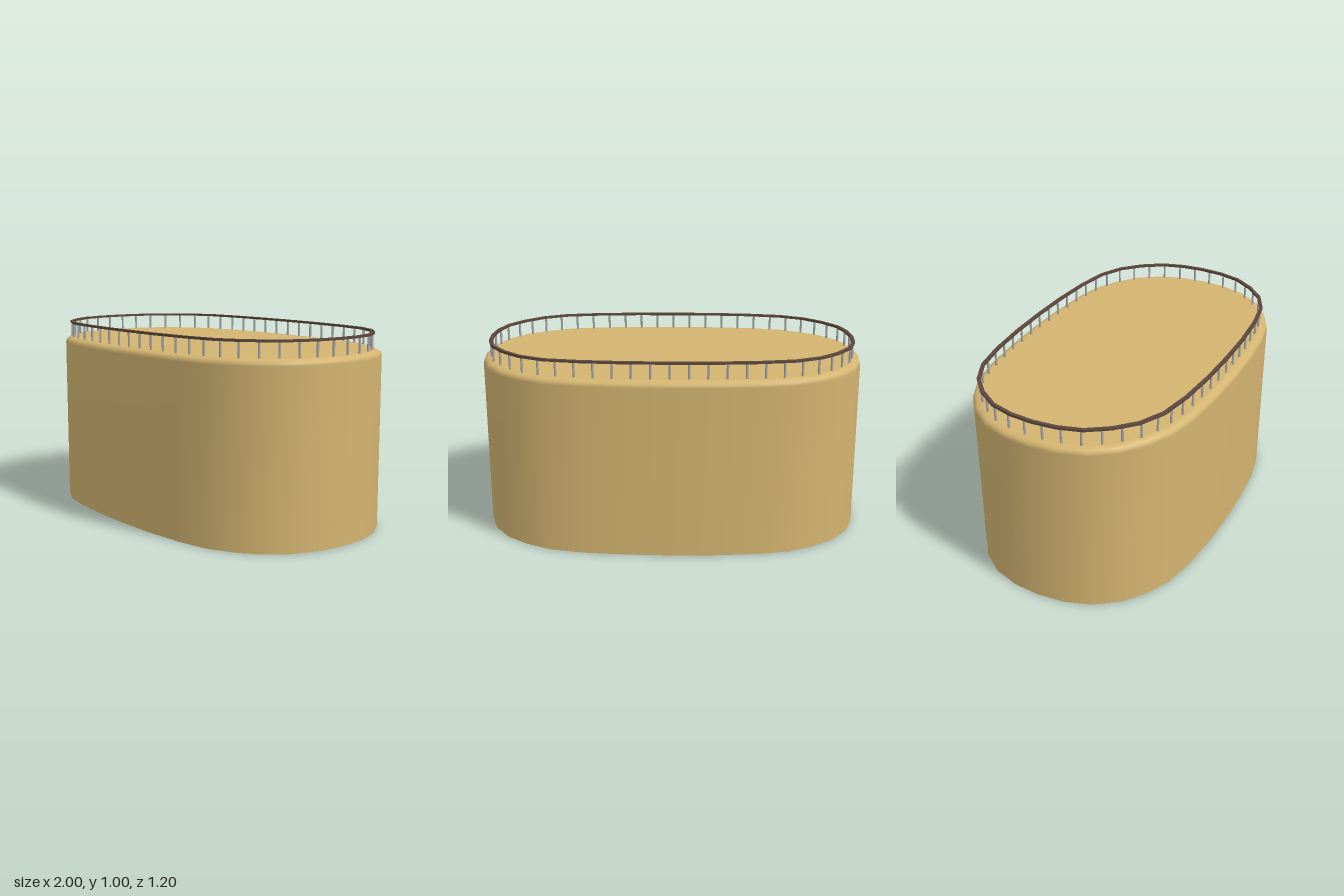
import * as THREE from 'three';

// One quadrant of each oval, from the +x end to the middle of the front
const BODY_QUADRANT = [[1, 0], [0.987, 0.14], [0.943, 0.275], [0.857, 0.395], [0.745, 0.48],
  [0.617, 0.542], [0.45, 0.577], [0.23, 0.596], [0, 0.602]];
const RAIL_QUADRANT = [[0.957, 0], [0.947, 0.122], [0.913, 0.24], [0.84, 0.347], [0.745, 0.437],
  [0.617, 0.499], [0.44, 0.53], [0.22, 0.547], [0, 0.551]];

// Quadrant mirrored into a closed oval
function oval(quadrant) {
  const q = quadrant.map(([x, z]) => new THREE.Vector2(x, z));
  const half = [...q, ...q.slice(0, -1).reverse().map(p => new THREE.Vector2(-p.x, p.y))];
  return [...half, ...half.slice(1, -1).reverse().map(p => new THREE.Vector2(p.x, -p.y))];
}

// Oval moved inwards along its own normals
function inset(outline, d) {
  const n = outline.length;
  return outline.map((p, i) => {
    const a = outline[(i + n - 1) % n], b = outline[(i + 1) % n];
    const t = b.clone().sub(a).normalize();
    return new THREE.Vector2(p.x - t.y * d, p.y + t.x * d);
  });
}

// Smooth wall lofted through [inset, height] rings
function loft(outline, rings) {
  const n = outline.length, pos = [], idx = [];
  rings.forEach(([d, y]) => inset(outline, d).forEach(p => pos.push(p.x, y, p.y)));
  for (let r = 0; r < rings.length - 1; r++) {
    for (let i = 0; i < n; i++) {
      const a = r * n + i, b = r * n + (i + 1) % n;
      idx.push(a, a + n, b, b, a + n, b + n);
    }
  }
  const g = new THREE.BufferGeometry();
  g.setAttribute('position', new THREE.Float32BufferAttribute(pos, 3));
  g.setIndex(idx);
  g.computeVertexNormals();
  return g;
}

export function createModel() {
  const group = new THREE.Group();
  const make = (name, color, side = THREE.FrontSide) => {
    const m = new THREE.MeshStandardMaterial({ color, side });
    m.name = name;
    return m;
  };
  const tan = make('tan', 0xd3b470, THREE.DoubleSide);
  const brown = make('dark brown', 0x5c473c);
  const grey = make('grey metal', 0xa6a6aa);
  const add = (name, geometry, material, parent = group) => {
    const mesh = new THREE.Mesh(geometry, material);
    mesh.name = name;
    parent.add(mesh);
    return mesh;
  };

  // Oval body, open underneath, with a rounded top edge
  const TOP = 0.917;
  const body = oval(BODY_QUADRANT);
  add('wall', loft(body, [[0, 0], [0, 0.885], [0.004, 0.899], [0.012, 0.908], [0.024, 0.914], [0.036, TOP]]), tan);
  const deck = new THREE.ShapeGeometry(new THREE.Shape(inset(body, 0.036)));
  deck.rotateX(-Math.PI / 2).translate(0, TOP, 0);
  add('deck', deck, tan);

  // Flat handrail following the edge of the deck
  const line = oval(RAIL_QUADRANT);
  const railShape = new THREE.Shape(inset(line, -0.009));
  railShape.holes.push(new THREE.Path(inset(line, 0.009)));
  const rail = new THREE.ExtrudeGeometry(railShape, { depth: 0.012, bevelEnabled: false });
  rail.rotateX(-Math.PI / 2).translate(0, 0.992, 0);
  add('handrail', rail, brown);

  // Evenly spaced posts under the handrail
  const posts = new THREE.Group();
  posts.name = 'railPosts';
  group.add(posts);
  const path = new THREE.CurvePath();
  line.forEach((p, i) => path.add(new THREE.LineCurve(p, line[(i + 1) % line.length])));
  const postGeometry = new THREE.CylinderGeometry(0.006, 0.006, 0.085, 8);
  const COUNT = 54;
  for (let i = 0; i < COUNT; i++) {
    const p = path.getPointAt((0.25 + i / COUNT) % 1);
    add('railPost', postGeometry, grey, posts).position.set(p.x, 0.953, p.y);
  }
  return group;
}
